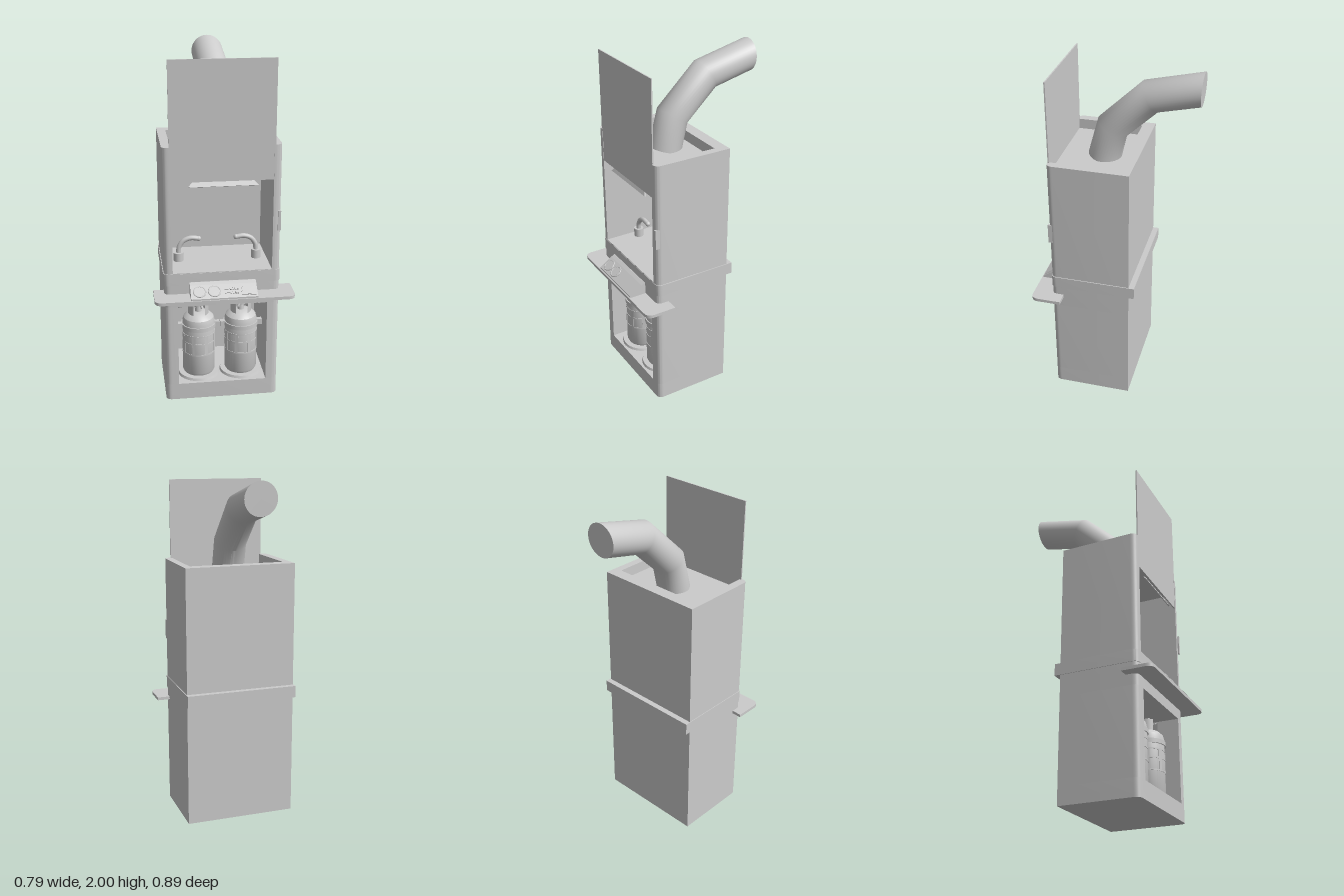
import * as THREE from 'three';
import { toCreasedNormals } from 'three/addons/utils/BufferGeometryUtils.js';

const material = new THREE.MeshStandardMaterial({ color: 0xcccccc });
const thin = new THREE.MeshStandardMaterial({ color: 0xcccccc, side: THREE.DoubleSide });

function add(parent, name, geometry, x = 0, y = 0, z = 0, mat = material) {
  const mesh = new THREE.Mesh(geometry, mat);
  mesh.name = name;
  mesh.position.set(x, y, z);
  parent.add(mesh);
  return mesh;
}

// Box given by its limits on each axis
function block(parent, name, [x0, x1], [y0, y1], [z0, z1]) {
  return add(parent, name, new THREE.BoxGeometry(x1 - x0, y1 - y0, z1 - z0),
    (x0 + x1) / 2, (y0 + y1) / 2, (z0 + z1) / 2);
}

// Upright prism with rounded front corners and an optional bay open to the front
function slab(parent, name, [x0, x1], [y0, y1], [z0, z1], r, bay) {
  const s = new THREE.Shape();
  s.moveTo(x0, -z0);
  s.lineTo(x0, -z1 + r);
  s.quadraticCurveTo(x0, -z1, x0 + r, -z1);
  if (bay) {
    s.lineTo(bay.x0, -z1);
    s.lineTo(bay.x0, -bay.back);
    s.lineTo(bay.x1, -bay.back);
    s.lineTo(bay.x1, -z1);
  }
  s.lineTo(x1 - r, -z1);
  s.quadraticCurveTo(x1, -z1, x1, -z1 + r);
  s.lineTo(x1, -z0);
  const g = new THREE.ExtrudeGeometry(s, { depth: y1 - y0, bevelEnabled: false, curveSegments: 8 });
  g.rotateX(-Math.PI / 2);
  return add(parent, name, toCreasedNormals(g, 0.5), 0, y0, 0);
}

const tube = (points, radius, segments = 32) => new THREE.TubeGeometry(
  new THREE.CatmullRomCurve3(points.map(p => new THREE.Vector3(...p))), segments, radius, 12);

// Duct: a cylinder whose four rings are moved onto an angled path
function ductGeometry() {
  const r = 0.093;
  const rings = [ // centre z, centre y, tilt of the ring
    [0.097, 1.455, 0.24], [0.05, 1.64, 0.54], [-0.16, 1.84, 1.06], [-0.44, 1.907, 1.6],
  ];
  const g = new THREE.CylinderGeometry(r, r, 3, 40, 3);
  const p = g.attributes.position;
  for (let i = 0; i < p.count; i++) {
    const [cz, cy, tilt] = rings[Math.round(p.getY(i) + 1.5)];
    const t = p.getZ(i);
    p.setXYZ(i, p.getX(i), cy + t * Math.sin(tilt), cz + t * Math.cos(tilt));
  }
  return toCreasedNormals(g, 0.6);
}

// Gas bottle with base, straps, guard, valve and hose; the hose leaves towards -x
function gasBottle() {
  const g = new THREE.Group();
  g.name = 'gasBottle';
  const profile = [[0, 0.11], [0.085, 0.11], [0.095, 0.13], [0.095, 0.44], [0.088, 0.465],
    [0.065, 0.487], [0.035, 0.497], [0, 0.5]].map(p => new THREE.Vector2(...p));
  add(g, 'bottle', toCreasedNormals(new THREE.LatheGeometry(profile, 36), 0.5));
  add(g, 'basePlate', new THREE.CylinderGeometry(0.12, 0.125, 0.014, 36), 0, 0.107, 0);
  for (const y of [0.25, 0.32, 0.37])
    add(g, 'band', new THREE.CylinderGeometry(0.0975, 0.0975, 0.008, 36), 0, y, 0);
  for (let i = 0; i < 8; i++) {
    const a = (i + 0.5) * Math.PI / 4;
    add(g, 'strap', new THREE.BoxGeometry(0.02, 0.12, 0.006),
      Math.sin(a) * 0.094, 0.31, Math.cos(a) * 0.094).rotation.y = a;
  }
  add(g, 'clamp', new THREE.CylinderGeometry(0.101, 0.101, 0.025, 36), 0, 0.415, 0);
  for (const s of [-1, 1])
    add(g, 'clampLug', new THREE.BoxGeometry(0.035, 0.032, 0.03), s * 0.106, 0.415, 0.01);
  add(g, 'guard', new THREE.CylinderGeometry(0.06, 0.06, 0.065, 28, 1, true, 0.6, Math.PI * 2 - 1.2),
    0, 0.52, 0, thin);
  add(g, 'valveStem', new THREE.CylinderGeometry(0.016, 0.02, 0.04, 16), 0, 0.515, 0);
  add(g, 'valveWheel', new THREE.CylinderGeometry(0.028, 0.028, 0.012, 16), 0, 0.538, 0);
  add(g, 'hose', tube([[-0.125, 0.585, 0], [-0.122, 0.545, 0], [-0.108, 0.528, 0], [-0.09, 0.545, 0],
    [-0.062, 0.574, 0], [-0.025, 0.578, 0], [0.005, 0.555, 0.02], [0.02, 0.525, 0.03]], 0.008));
  return g;
}

// Swan-neck arm reaching towards +x
function spoutArm() {
  const g = new THREE.Group();
  g.name = 'spoutArm';
  add(g, 'foot', new THREE.CylinderGeometry(0.028, 0.028, 0.05, 20), 0, 0.025, 0);
  add(g, 'neck', tube([[0, 0.05, 0], [0.005, 0.085, 0], [0.03, 0.12, 0], [0.07, 0.135, 0],
    [0.118, 0.13, 0]], 0.014));
  add(g, 'nozzle', new THREE.SphereGeometry(0.015, 12, 8), 0.116, 0.13, 0);
  return g;
}

// Sloped control panel with gauges, switches and a display
function controlPanel() {
  const g = new THREE.Group();
  g.name = 'controlPanel';
  const s = new THREE.Shape([[0.335, 0.675], [0.44, 0.675], [0.44, 0.684], [0.365, 0.734], [0.345, 0.745],
    [0.335, 0.745]].map(p => new THREE.Vector2(...p)));
  const wedge = new THREE.ExtrudeGeometry(s, { depth: 0.373, bevelEnabled: false });
  wedge.rotateY(-Math.PI / 2);
  add(g, 'wedge', wedge, 0.18, 0, 0);
  const face = new THREE.Group();
  face.name = 'panelFace';
  face.position.set(0, 0.709, 0.4025);
  face.rotation.x = Math.atan2(0.05, 0.075);
  g.add(face);
  for (const x of [-0.143, -0.06]) {
    add(face, 'gauge', new THREE.CylinderGeometry(0.03, 0.03, 0.006, 28), x, 0.002, 0);
    add(face, 'gaugeRim', new THREE.TorusGeometry(0.033, 0.004, 8, 28), x, 0.003, 0).rotation.x = Math.PI / 2;
  }
  for (let row = 0; row < 2; row++) {
    const z = -0.012 + row * 0.025;
    add(face, 'slider', new THREE.BoxGeometry(0.026, 0.006, 0.005), 0.01, 0.002, z);
    for (let i = 0; i < 4; i++)
      add(face, 'switch', new THREE.BoxGeometry(0.008, 0.01, 0.014), 0.032 + i * 0.013, 0.003, z);
  }
  add(face, 'displayFrame', new THREE.BoxGeometry(0.08, 0.005, 0.066), 0.131, 0.002, 0);
  add(face, 'display', new THREE.BoxGeometry(0.068, 0.005, 0.054), 0.131, 0.004, 0);
  return g;
}

export function createModel() {
  const model = new THREE.Group();
  model.name = 'workstationCabinet';
  const X = [-0.334, 0.318], Z = [-0.12, 0.34], R = 0.035;

  // Cabinet, bottom to top
  slab(model, 'plinth', X, [0, 0.1], Z, R);
  slab(model, 'bottleBay', X, [0.1, 0.595], Z, R, { x0: -0.26, x1: 0.25, back: -0.08 });
  slab(model, 'counter', X, [0.595, 0.8], Z, R);
  slab(model, 'beltBand', [-0.338, 0.323], [0.727, 0.796], [-0.153, 0.342], R);
  slab(model, 'workChamber', X, [0.8, 1.52], Z, R, { x0: -0.285, x1: 0.273, back: -0.05 });
  block(model, 'chamberCeiling', [-0.29, 0.278], [1.42, 1.46], [-0.055, 0.332]);

  // Sliding sash with its pull
  block(model, 'sash', [-0.295, 0.28], [1.325, 1.98], [0.331, 0.338]);
  const pull = add(model, 'sashPull', toCreasedNormals(new THREE.ExtrudeGeometry(
    new THREE.Shape([[-0.195, -0.037], [0.19, -0.037], [0.158, 0], [-0.163, 0]].map(p => new THREE.Vector2(...p))),
    { depth: 0.006, bevelEnabled: false }), 0.3), 0, 1.327, 0.315);
  pull.rotation.x = -0.5;
  block(model, 'sideSwitch', [0.3, 0.316], [1.03, 1.145], [0.315, 0.345]);

  // Front shelf and controls
  slab(model, 'shelf', [-0.393, 0.393], [0.657, 0.675], [0.27, 0.447], 0.045);
  model.add(controlPanel());

  // Mirrored pairs
  for (const s of [1, -1]) {
    const bottle = gasBottle();
    bottle.position.set(-0.005 - s * 0.125, 0, 0.2);
    bottle.scale.x = s;
    const arm = spoutArm();
    arm.position.set(-0.012 - s * 0.225, 0.8, 0.15);
    arm.scale.x = s;
    model.add(bottle, arm);
  }

  add(model, 'exhaustDuct', ductGeometry());
  return model;
}
